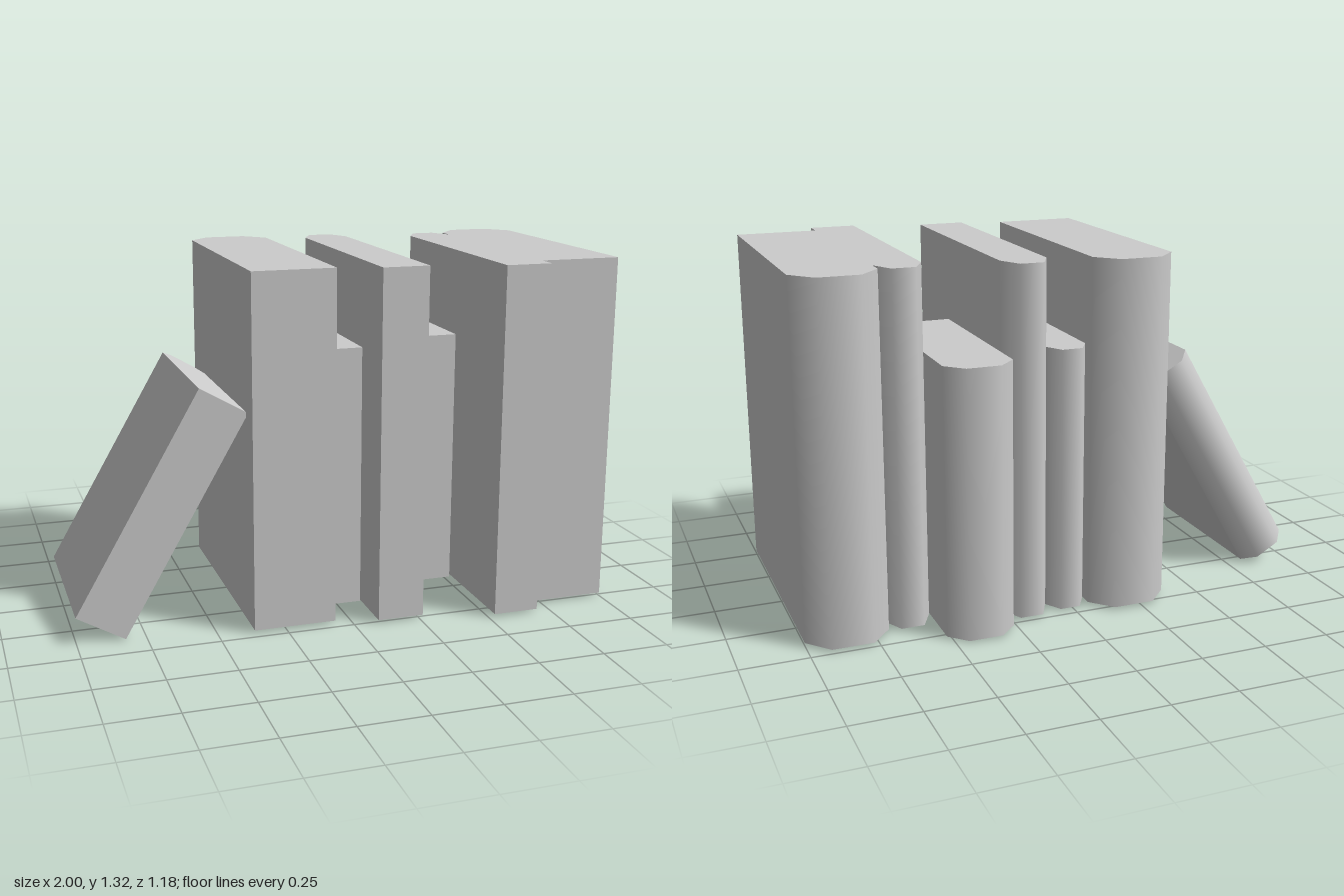
import * as THREE from 'three';

const material = new THREE.MeshStandardMaterial({ color: 0xcccccc });

// A book standing on its local origin: flat front, three-facet smooth spine at the back
function makeBook(name, width, height, front, edge, spine) {
  const h = width / 2, q = width / 4;
  const outline = [[-h, front], [h, front], [h, edge], [q, spine], [-q, spine], [-h, edge]];
  const shape = new THREE.Shape(outline.map(([x, z]) => new THREE.Vector2(x, -z)));
  const geometry = new THREE.ExtrudeGeometry(shape, { depth: height, bevelEnabled: false });
  geometry.rotateX(-Math.PI / 2);

  // Round the shading across the spine, leaving the covers and ends crisp
  const slope = Math.atan2(edge - spine, h - q);
  const { position, normal } = geometry.attributes;
  for (let i = 0; i < position.count; i++) {
    if (normal.getZ(i) > -0.1) continue;
    const angle = slope * position.getX(i) / h;
    normal.setXYZ(i, Math.sin(angle), 0, -Math.cos(angle));
  }
  const mesh = new THREE.Mesh(geometry, material);
  mesh.name = name;
  return mesh;
}

export function createModel() {
  const group = new THREE.Group();
  group.name = 'bookRow';

  // Upright books: left x, right x, top, front z, cover edge z, spine z
  const row = [
    [-0.37, -0.063, 1.32, 0.47, -0.455, -0.535],
    [-0.063, 0.09, 1.0, 0.305, -0.4, -0.465],
    [0.09, 0.264, 1.32, 0.515, -0.405, -0.492],
    [0.264, 0.517, 1.0, 0.17, -0.53, -0.594],
    [0.523, 0.695, 1.32, 0.59, -0.335, -0.42],
    [0.695, 1.0, 1.32, 0.515, -0.405, -0.492],
  ];
  row.forEach(([x0, x1, top, front, edge, spine], i) => {
    const bottom = top > 1.1 ? 0.015 : 0.01;
    const book = makeBook(`uprightBook${i + 1}`, x1 - x0, top - bottom, front, edge, spine);
    book.position.set((x0 + x1) / 2, bottom, 0);
    group.add(book);
  });

  // Book leaning against the end of the row
  const leaning = makeBook('leaningBook', 0.203, 0.925, 0.38, -0.275, -0.333);
  leaning.rotation.z = -Math.PI / 6;
  leaning.position.set(-0.912, 0.054, 0);
  group.add(leaning);

  return group;
}
